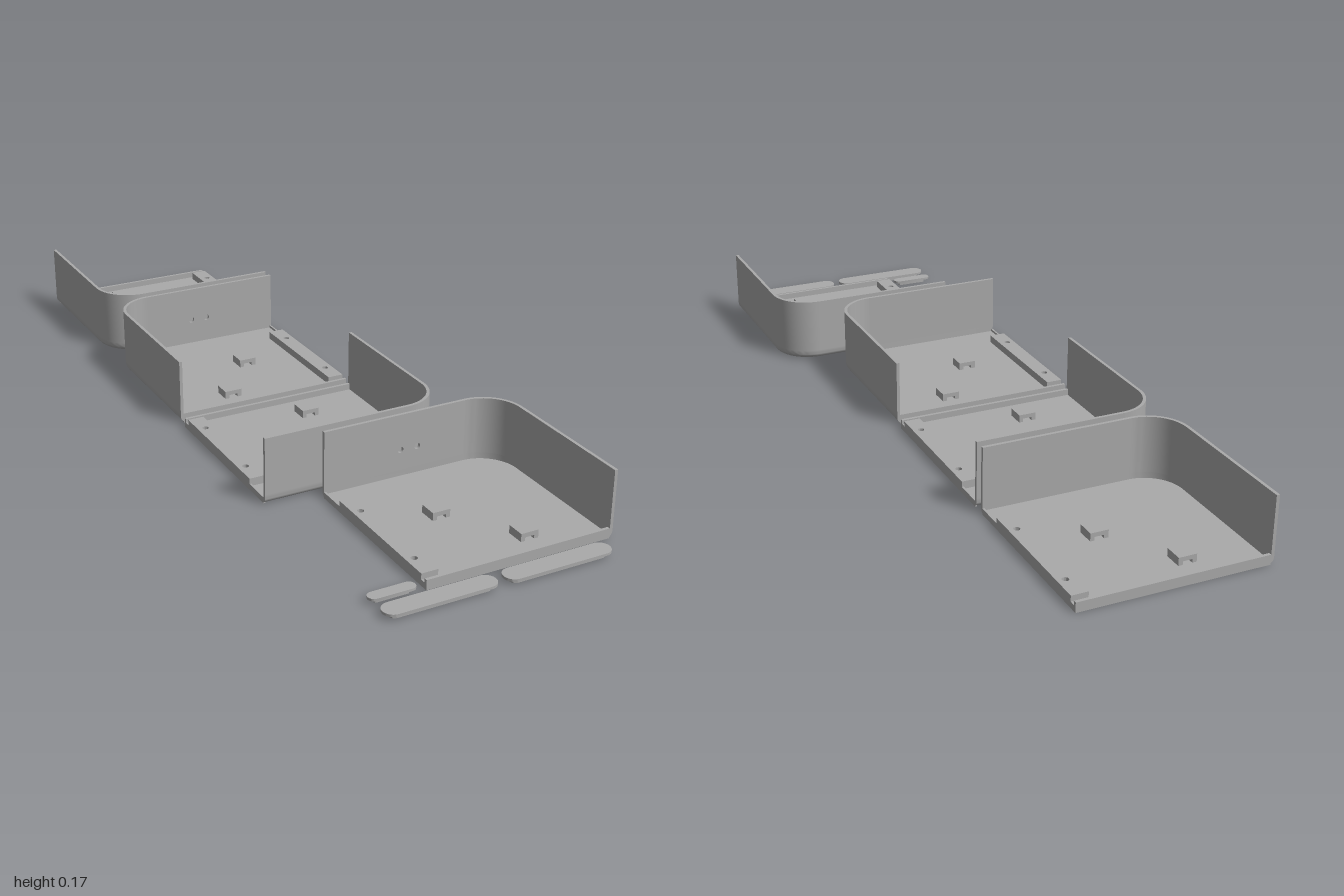
import * as THREE from 'three';
import { toCreasedNormals } from 'three/addons/utils/BufferGeometryUtils.js';

// Tray plan: open edges at x = 0 and z = 0, walls at x = W and z = D
const W = 0.483, D = 0.463, R = 0.1, H = 0.17;
const WALL = 0.008, FLOOR = 0.009, FILLET = 0.018, LIP = 0.025, PAD_TOP = 0.029;

const grey = new THREE.MeshStandardMaterial({ color: 0xaaaaaa });
grey.name = 'grey plastic';

function add(parent, name, geometry, x = 0, y = 0, z = 0) {
  const mesh = new THREE.Mesh(geometry, grey);
  mesh.name = name;
  mesh.position.set(x, y, z);
  parent.add(mesh);
  return mesh;
}

function addBox(parent, name, x0, x1, y0, y1, z0, z1) {
  add(parent, name, new THREE.BoxGeometry(x1 - x0, y1 - y0, z1 - z0),
    (x0 + x1) / 2, (y0 + y1) / 2, (z0 + z1) / 2);
}

// Extrude an x/z plan shape from y0 to y1
function slab(shape, y0, y1) {
  const g = new THREE.ExtrudeGeometry(shape, { depth: y1 - y0, bevelEnabled: false, curveSegments: 16 });
  g.rotateX(Math.PI / 2).translate(0, y1, 0);
  return toCreasedNormals(g, 0.6);
}

function rectangle(x0, y0, x1, y1) {
  return new THREE.Shape([[x0, y0], [x1, y0], [x1, y1], [x0, y1]].map(p => new THREE.Vector2(...p)));
}

function punch(shape, x, y, r) {
  shape.holes.push(new THREE.Path().absarc(x, y, r, 0, Math.PI * 2, true));
}

// Sweep an (inset, height) section along the straight wall, round corner and second wall
function sweepWall(section, wholePath) {
  const stations = [{ x: W, z: 0, a: 0 }];
  for (let i = 0; i <= 16; i++) {
    stations.push({ x: W - R, z: D - R, a: i / 16 * Math.PI / 2, r: R });
  }
  if (wholePath) stations.push({ x: 0, z: D, a: Math.PI / 2 });
  const n = section.length, pos = [], idx = [];
  for (const s of stations) {
    for (const [d, y] of section) {
      const r = (s.r || 0) - d;
      pos.push(s.x + Math.cos(s.a) * r, y, s.z + Math.sin(s.a) * r);
    }
  }
  for (let i = 0; i < stations.length - 1; i++) {
    for (let j = 0; j < n; j++) {
      const k = (j + 1) % n, a = i * n + j, b = i * n + k;
      idx.push(a, b, a + n, b, b + n, a + n);
    }
  }
  const last = (stations.length - 1) * n;
  const outline = section.map(p => new THREE.Vector2(...p));
  for (const [a, b, c] of THREE.ShapeUtils.triangulateShape(outline, [])) {
    idx.push(a, b, c, last + a, last + c, last + b);
  }
  const g = new THREE.BufferGeometry();
  g.setAttribute('position', new THREE.Float32BufferAttribute(pos, 3));
  g.setIndex(idx);
  return toCreasedNormals(g, 0.6);
}

function createTray(name, wallHoles) {
  const tray = new THREE.Group();
  tray.name = name;

  // Floor with one round corner
  const e = FILLET, floor = new THREE.Shape();
  floor.moveTo(0, 0).lineTo(W - e, 0).lineTo(W - e, D - R);
  floor.absarc(W - R, D - R, R - e, 0, Math.PI / 2, false).lineTo(0, D - e);
  add(tray, 'floor', slab(floor, 0, FLOOR));

  // Rounded bottom edge below the walls
  const section = [];
  for (let i = 0; i <= 6; i++) {
    const a = i / 6 * Math.PI / 2;
    section.push([e - e * Math.sin(a), e - e * Math.cos(a)]);
  }
  section.push([0, LIP], [WALL, LIP], [WALL, FLOOR], [e, FLOOR]);
  add(tray, 'roundedBottomEdge', sweepWall(section, true));

  // Side wall with corner, then the straight end wall
  add(tray, 'sideWall', sweepWall([[0, LIP], [0, H], [WALL, H], [WALL, LIP]], false));
  const panel = rectangle(0, LIP, W - R, H);
  if (wallHoles) for (const x of [0.205, 0.251]) punch(panel, x, 0.078, 0.008);
  const endWall = new THREE.ExtrudeGeometry(panel, { depth: WALL, bevelEnabled: false, curveSegments: 12 });
  add(tray, 'endWall', endWall, 0, 0, D - WALL);

  // Low lips on the open edges
  addBox(tray, 'frontLip', 0, W - WALL, 0, LIP, 0, WALL);
  addBox(tray, 'sideLip', 0, 0.005, 0, 0.015, 0, D - WALL);

  // Joining strip with two screw holes
  const strip = rectangle(0, 0.022, 0.042, 0.38);
  for (const z of [0.084, 0.317]) punch(strip, 0.02, z, 0.008);
  add(tray, 'joiningStrip', slab(strip, FLOOR, PAD_TOP));

  // Small cable tie mounts, each with a tunnel
  for (const [x, z] of [[0.305, 0.086], [0.182, 0.255]]) {
    const s = 0.023;
    const arch = new THREE.Shape([[-s, 0], [-0.012, 0], [-0.012, 0.009], [0.012, 0.009],
      [0.012, 0], [s, 0], [s, PAD_TOP - FLOOR], [-s, PAD_TOP - FLOOR]].map(p => new THREE.Vector2(...p)));
    const g = new THREE.ExtrudeGeometry(arch, { depth: 2 * s, bevelEnabled: false });
    add(tray, 'tieMount', g, x, FLOOR, z - s);
  }
  return tray;
}

// Plan shape with half-round ends
function stadium(length, width) {
  const r = width / 2, h = length / 2 - r, s = new THREE.Shape();
  s.absarc(h, 0, r, -Math.PI / 2, Math.PI / 2, false);
  s.absarc(-h, 0, r, Math.PI / 2, Math.PI * 1.5, false);
  return s;
}

function createPlug(name, x0, x1, z0, z1) {
  const plug = new THREE.Group(), length = x1 - x0, width = z1 - z0;
  plug.name = name;
  plug.position.set((x0 + x1) / 2, 0, (z0 + z1) / 2);
  add(plug, 'flange', slab(stadium(length, width), 0.011, 0.017));
  add(plug, 'stem', slab(stadium(length - 0.03, width - 0.022), 0, 0.011));
  return plug;
}

export function createModel() {
  const model = new THREE.Group();
  model.name = 'enclosureParts';

  // Four mirrored trays: open corner position, x and z direction, wall holes
  const trays = [
    ['rearTray', 0.173, -1, -1, 1, false],
    ['rearMiddleTray', 0.173, -0.05, -1, -1, true],
    ['frontMiddleTray', -0.31, -0.025, 1, 1, false],
    ['frontTray', -0.174, 0.926, 1, -1, true],
  ];
  for (const [name, x, z, sx, sz, holes] of trays) {
    const tray = createTray(name, holes);
    tray.position.set(x, 0, z);
    tray.scale.set(sx, 1, sz);
    model.add(tray);
  }

  // Loose slot plugs at the front
  model.add(createPlug('longPlug', -0.31, -0.033, 0.95, 1));
  model.add(createPlug('longPlug', -0.014, 0.263, 0.95, 1));
  model.add(createPlug('shortPlug', -0.31, -0.195, 0.9, 0.93));
  return model;
}
